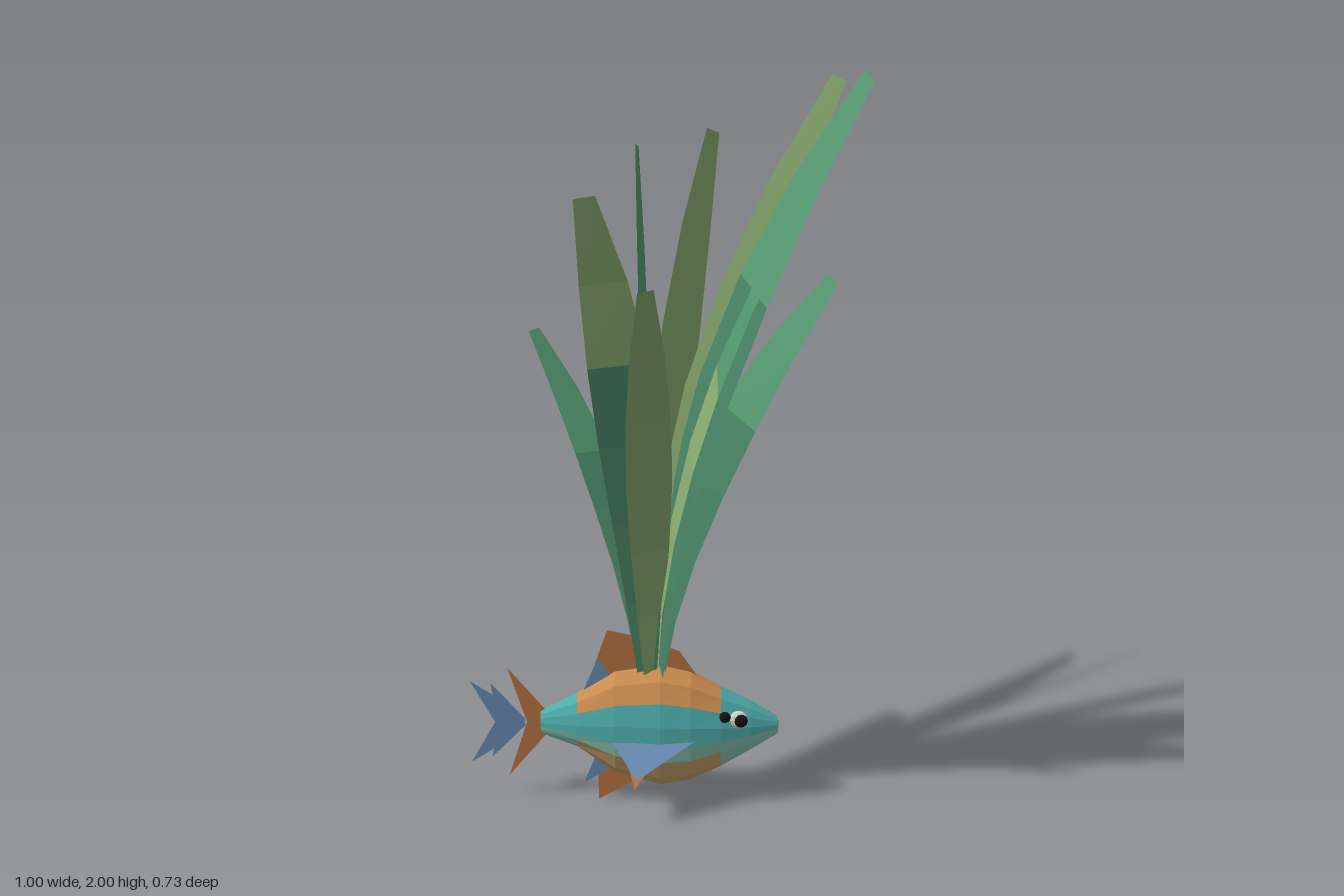
import * as THREE from 'three';

const mat = (color) => new THREE.MeshStandardMaterial({ color, flatShading: true, side: THREE.DoubleSide });
const green = mat(0x559a72), olive = mat(0x8cae72), deepGreen = mat(0x488364);
const teal = mat(0x4fb0ae), paleTeal = mat(0x8cc8b4), orange = mat(0xcf9050), sand = mat(0xcaa468);
const finOrange = mat(0xb5713f), finBlue = mat(0x6688b0);
const black = mat(0x151515), white = mat(0xd8d4c8);

function polyMesh(name, corners, material) {
  const g = new THREE.BufferGeometry();
  g.setAttribute('position', new THREE.Float32BufferAttribute(corners, 3));
  g.computeVertexNormals();
  const m = new THREE.Mesh(g, material);
  m.name = name;
  return m;
}

function fin(name, pts, material, z = 0) {
  const g = new THREE.ShapeGeometry(new THREE.Shape(pts.map(([x, y]) => new THREE.Vector2(x, y))));
  const m = new THREE.Mesh(g, material);
  m.position.z = z;
  m.name = name;
  return m;
}

// Blade: a flat ribbon curving outward from the base to a cut tip
function leaf(tip, wide, width, lower, upper) {
  const group = new THREE.Group();
  group.name = 'leaf';
  const out = new THREE.Vector3(tip[0] + 0.025, 0, tip[2]).normalize().multiplyScalar(0.02);
  const base = new THREE.Vector3(-0.025 + out.x, 0.37, 0.005 + out.z * 0.5);
  const end = new THREE.Vector3(...tip);
  const at = (t) => {
    const p = base.clone().lerp(end, Math.pow(t, 1.85));
    p.y = base.y + (end.y - base.y) * t;
    return p;
  };
  const profile = [0.28, 0.6, 0.85, 1, 0.97, 0.74, 0.33];
  const n = profile.length - 1;
  const edges = profile.map((k, i) => {
    const t = i / n, p = at(t);
    const tangent = at(Math.min(1, t + 0.02)).sub(at(Math.max(0, t - 0.02))).normalize();
    const w = new THREE.Vector3(wide[0], 0, wide[1]);
    w.addScaledVector(tangent, -w.dot(tangent)).normalize().multiplyScalar(k * width / 2);
    return [p.clone().sub(w).toArray(), p.clone().add(w).toArray()];
  });
  const parts = [[], []];
  for (let i = 0; i < n; i++) {
    const [a, b] = edges[i], [c, d] = edges[i + 1];
    parts[i < 4 ? 0 : 1].push(...a, ...b, ...d, ...a, ...d, ...c);
  }
  group.add(polyMesh('leafLower', parts[0], lower), polyMesh('leafUpper', parts[1], upper));
  return group;
}

// Body: faceted cross-sections along x, coloured in bands
function fishBody() {
  const group = new THREE.Group();
  group.name = 'fishBody';
  // x, top, bottom, half width
  const sections = [
    [-0.318, 0.24, 0.24, 0], [-0.318, 0.272, 0.208, 0.015], [-0.22, 0.325, 0.17, 0.042],
    [-0.12, 0.39, 0.095, 0.062], [0, 0.41, 0.06, 0.072], [0.08, 0.39, 0.075, 0.069],
    [0.16, 0.345, 0.115, 0.057], [0.24, 0.305, 0.165, 0.038], [0.312, 0.26, 0.212, 0.014], [0.314, 0.24, 0.24, 0],
  ];
  // height and width factors from back to belly
  const half = [[1, 0.15], [0.82, 0.55], [0.5, 0.85], [0.12, 1], [-0.22, 1], [-0.5, 0.85], [-0.82, 0.52], [-1, 0.12]];
  const ring = [...half, ...half.map(([h, w]) => [h, -w]).reverse()];
  const point = (s, r) => {
    const [x, top, bottom, w] = sections[s], [h, k] = ring[r % ring.length];
    return [x, 0.24 + h * (h > 0 ? top - 0.24 : 0.24 - bottom), w * k];
  };
  const bands = { back: [], flank: [], lowerFlank: [], belly: [] };
  for (let s = 0; s < sections.length - 1; s++) {
    for (let r = 0; r < ring.length; r++) {
      const row = Math.min(r, (ring.length - 2 - r + ring.length) % ring.length);
      const middle = s >= 2 && s <= 5;
      let band = 'flank';
      if (r === ring.length - 1 || row < 2) band = middle ? 'back' : 'flank';
      else if (row >= 5) band = middle ? 'belly' : 'lowerFlank';
      else if (row === 4) band = 'lowerFlank';
      const a = point(s, r), b = point(s + 1, r), c = point(s, r + 1), d = point(s + 1, r + 1);
      bands[band].push(...a, ...c, ...b, ...b, ...c, ...d);
    }
  }
  group.add(
    polyMesh('back', bands.back, orange), polyMesh('flank', bands.flank, teal),
    polyMesh('lowerFlank', bands.lowerFlank, paleTeal), polyMesh('belly', bands.belly, sand));
  return group;
}

function eye(side) {
  const group = new THREE.Group();
  group.name = side > 0 ? 'leftEye' : 'rightEye';
  const ball = (name, r, x, y, z, m) => {
    const b = new THREE.Mesh(new THREE.SphereGeometry(r, 10, 6), m);
    b.scale.z = 0.5;
    b.position.set(x, y, z * side);
    b.name = name;
    group.add(b);
  };
  ball('eyeRim', 0.026, 0.207, 0.272, 0.042, white);
  ball('pupil', 0.019, 0.212, 0.272, 0.049, black);
  ball('eyeSpot', 0.016, 0.17, 0.282, 0.049, black);
  return group;
}

export function createModel() {
  const model = new THREE.Group();
  model.name = 'fishWithPlant';

  const fish = new THREE.Group();
  fish.name = 'fish';
  fish.add(fishBody());

  // Fins along the centre plane
  fish.add(
    fin('tailFin', [[-0.3, 0.27], [-0.405, 0.4], [-0.355, 0.24], [-0.405, 0.08], [-0.3, 0.21]], finOrange),
    fin('tailFinEnd', [[-0.36, 0.25], [-0.45, 0.355], [-0.445, 0.32], [-0.505, 0.36], [-0.44, 0.24],
      [-0.505, 0.12], [-0.445, 0.16], [-0.45, 0.135], [-0.36, 0.23]], finBlue, 0.001),
    fin('dorsalFin', [[-0.2, 0.33], [-0.14, 0.51], [-0.05, 0.49], [0.05, 0.45], [0.11, 0.36]], finOrange),
    fin('dorsalFinEdge', [[-0.21, 0.32], [-0.165, 0.43], [-0.12, 0.36]], finBlue, 0.002),
    fin('bellyFin', [[-0.17, 0.18], [-0.165, 0.01], [-0.04, 0.085]], finOrange),
    fin('bellyFinEdge', [[-0.15, 0.2], [-0.205, 0.06], [-0.14, 0.1]], finBlue, 0.002));

  // Mirrored side fins and eyes
  for (const s of [1, -1]) {
    const prefix = s > 0 ? 'left' : 'right';
    fish.add(
      polyMesh(prefix + 'SideFin', [-0.125, 0.212, 0.065 * s, 0.095, 0.222, 0.065 * s, -0.06, 0.15, 0.157 * s], finBlue),
      polyMesh(prefix + 'SideFinUnder', [-0.1, 0.205, 0.065 * s, 0.02, 0.213, 0.065 * s, -0.065, 0.12, 0.15 * s], finOrange),
      eye(s));
  }
  model.add(fish);

  // Leaves: tip, width direction (x, z), width, lower and upper colour
  const plant = new THREE.Group();
  plant.name = 'plant';
  const leaves = [
    [[0.49, 2.0, 0.135], [0.43, 0.9], 0.18, deepGreen, green],
    [[0.44, 1.93, -0.19], [1, 0.1], 0.12, olive, olive],
    [[0.425, 1.47, 0.005], [0.75, 0.65], 0.13, deepGreen, green],
    [[0.31, 1.69, 0.295], [0.1, 1], 0.145, olive, green],
    [[0.13, 1.76, -0.355], [0.7, -0.7], 0.14, olive, olive],
    [[-0.03, 1.54, 0.36], [0.93, -0.3], 0.12, olive, olive],
    [[-0.065, 1.73, -0.315], [0.13, -1], 0.145, olive, green],
    [[-0.175, 1.735, 0.25], [1, 0], 0.16, deepGreen, olive],
    [[-0.32, 1.315, -0.06], [0.8, 0.6], 0.13, deepGreen, green],
  ];
  leaves.forEach((l) => plant.add(leaf(...l)));
  model.add(plant);
  return model;
}
